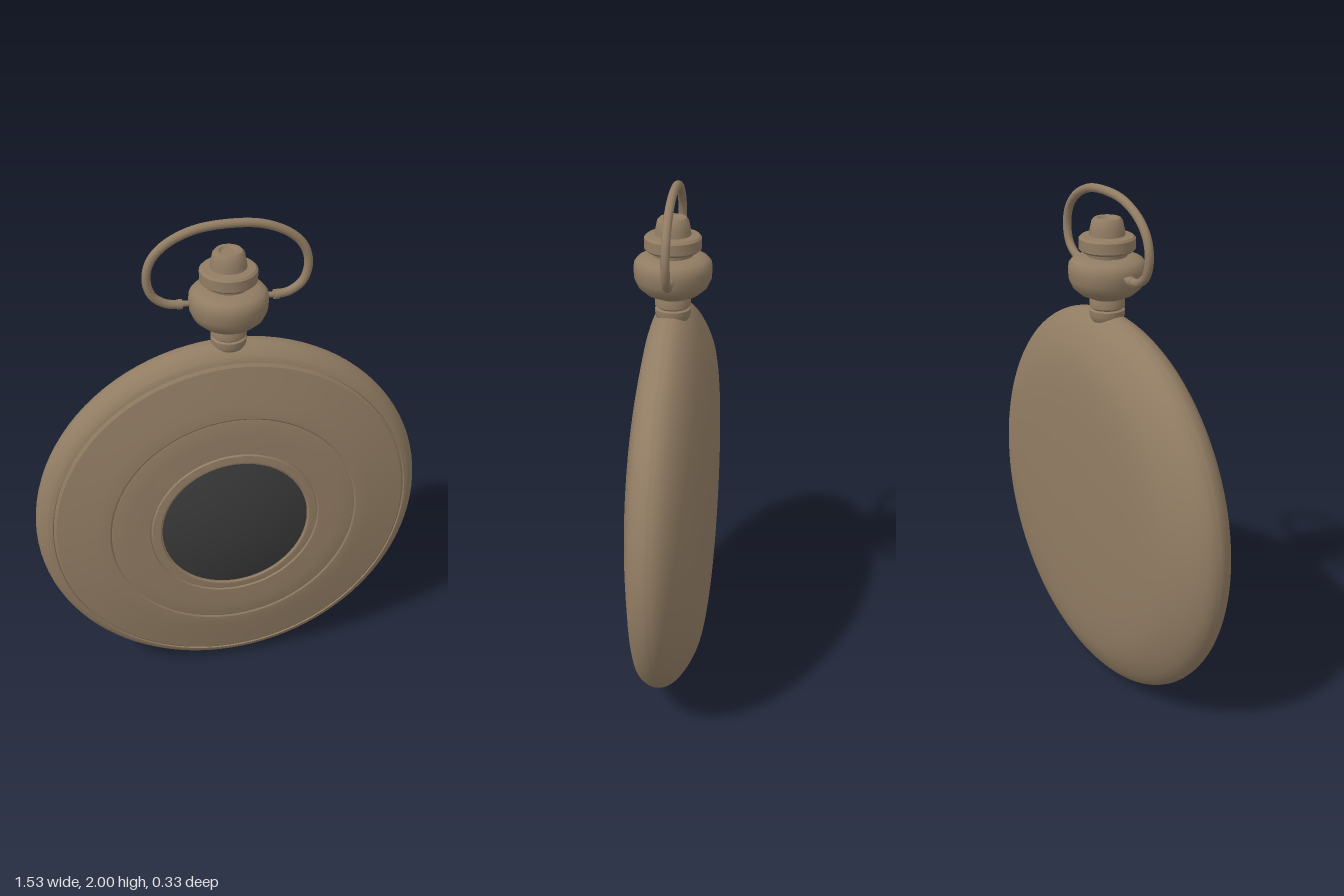
import * as THREE from 'three';
import { toCreasedNormals } from 'three/addons/utils/BufferGeometryUtils.js';

const CENTRE_Y = 0.767;

export function createModel() {
  const model = new THREE.Group();
  model.name = 'pocketWatch';
  const bronze = new THREE.MeshStandardMaterial({ color: 0x917c63 });
  bronze.name = 'bronze';
  const darkGlass = new THREE.MeshStandardMaterial({ color: 0x3a3a3a });
  darkGlass.name = 'dark glass';

  const add = (name, geometry, material, parent = model) => {
    const mesh = new THREE.Mesh(geometry, material);
    mesh.name = name;
    parent.add(mesh);
    return mesh;
  };
  const lathe = (profile, segments, crease = 0.6) =>
    toCreasedNormals(new THREE.LatheGeometry(profile.map(([r, h]) => new THREE.Vector2(r, h)), segments), crease);

  // Watch body: profiles turned about the front-to-back axis
  const body = new THREE.Group();
  body.name = 'watchBody';
  body.rotation.x = Math.PI / 2;
  body.position.y = CENTRE_Y;
  model.add(body);

  // Rounded back and rim, smoothed through a few points
  const shell = new THREE.SplineCurve([
    [0, -0.165], [0.2, -0.163], [0.4, -0.156], [0.53, -0.145], [0.62, -0.125], [0.7, -0.085],
    [0.75, -0.04], [0.766, 0.005], [0.755, 0.045], [0.73, 0.073], [0.708, 0.083],
  ].map(([r, z]) => new THREE.Vector2(r, z))).getPoints(40).map((p) => [Math.max(p.x, 0), p.y]);
  shell[0] = [0, -0.165];
  add('case', lathe([...shell, [0.704, 0.074], [0.69, 0.074]], 96), bronze, body);

  // Front lid with a shallow step and a raised central ring
  add('frontLid', lathe([
    [0.704, 0.07], [0.704, 0.08], [0.695, 0.087], [0.62, 0.102], [0.55, 0.115], [0.5, 0.123],
    [0.493, 0.123], [0.487, 0.119], [0.48, 0.121], [0.42, 0.125], [0.338, 0.127], [0.335, 0.121], [0.331, 0.121],
    [0.328, 0.128], [0.31, 0.131], [0.298, 0.131], [0.294, 0.126], [0.28, 0.122],
  ], 72, 0.4), bronze, body);

  // Domed window
  const dome = [];
  for (let i = 0; i <= 12; i++) {
    const r = 0.29 * (1 - i / 12);
    dome.push([r, 0.165 - 0.04 * (r / 0.29) ** 2]);
  }
  add('window', lathe(dome, 64), darkGlass, body);

  // Stem, bulb and winding crown, turned about the vertical axis
  add('stem', lathe([
    [0.045, 1.49], [0.062, 1.515], [0.066, 1.53], [0.066, 1.548], [0.058, 1.553],
    [0.066, 1.56], [0.066, 1.58], [0.06, 1.6],
  ], 32), bronze);
  add('bulb', lathe([
    [0.05, 1.585], [0.065, 1.595], [0.1, 1.61], [0.128, 1.635], [0.141, 1.665], [0.144, 1.7], [0.141, 1.723],
    [0.128, 1.738], [0.105, 1.747], [0.075, 1.75], [0, 1.75],
  ], 40), bronze);
  add('crown', lathe([
    [0.07, 1.73], [0.075, 1.765], [0.095, 1.768], [0.104, 1.776], [0.104, 1.815], [0.096, 1.823],
    [0.066, 1.826], [0.064, 1.845], [0.057, 1.878], [0.048, 1.888], [0.035, 1.888], [0.028, 1.88], [0, 1.88],
  ], 32), bronze);

  // Oval bow, its two ends pinned into the bulb
  const half = [[0.18, 1.694], [0.225, 1.702], [0.272, 1.737], [0.291, 1.8], [0.276, 1.868], [0.225, 1.925], [0.125, 1.971]];
  const path = [
    ...half.map(([x, y]) => new THREE.Vector3(x, y, -0.005)),
    new THREE.Vector3(0, 1.984, -0.005),
    ...half.map(([x, y]) => new THREE.Vector3(-x, y, -0.005)).reverse(),
  ];
  add('bow', new THREE.TubeGeometry(new THREE.CatmullRomCurve3(path), 80, 0.016, 12), bronze);
  for (const side of [1, -1]) {
    const cap = add('bowEnd', new THREE.CylinderGeometry(0.018, 0.018, 0.02, 12), bronze);
    cap.rotation.z = Math.PI / 2;
    cap.position.set(side * 0.176, 1.694, -0.005);
    const pin = add('bowPin', new THREE.CylinderGeometry(0.011, 0.011, 0.07, 10), bronze);
    pin.rotation.z = Math.PI / 2;
    pin.position.set(side * 0.145, 1.694, -0.005);
  }
  return model;
}
